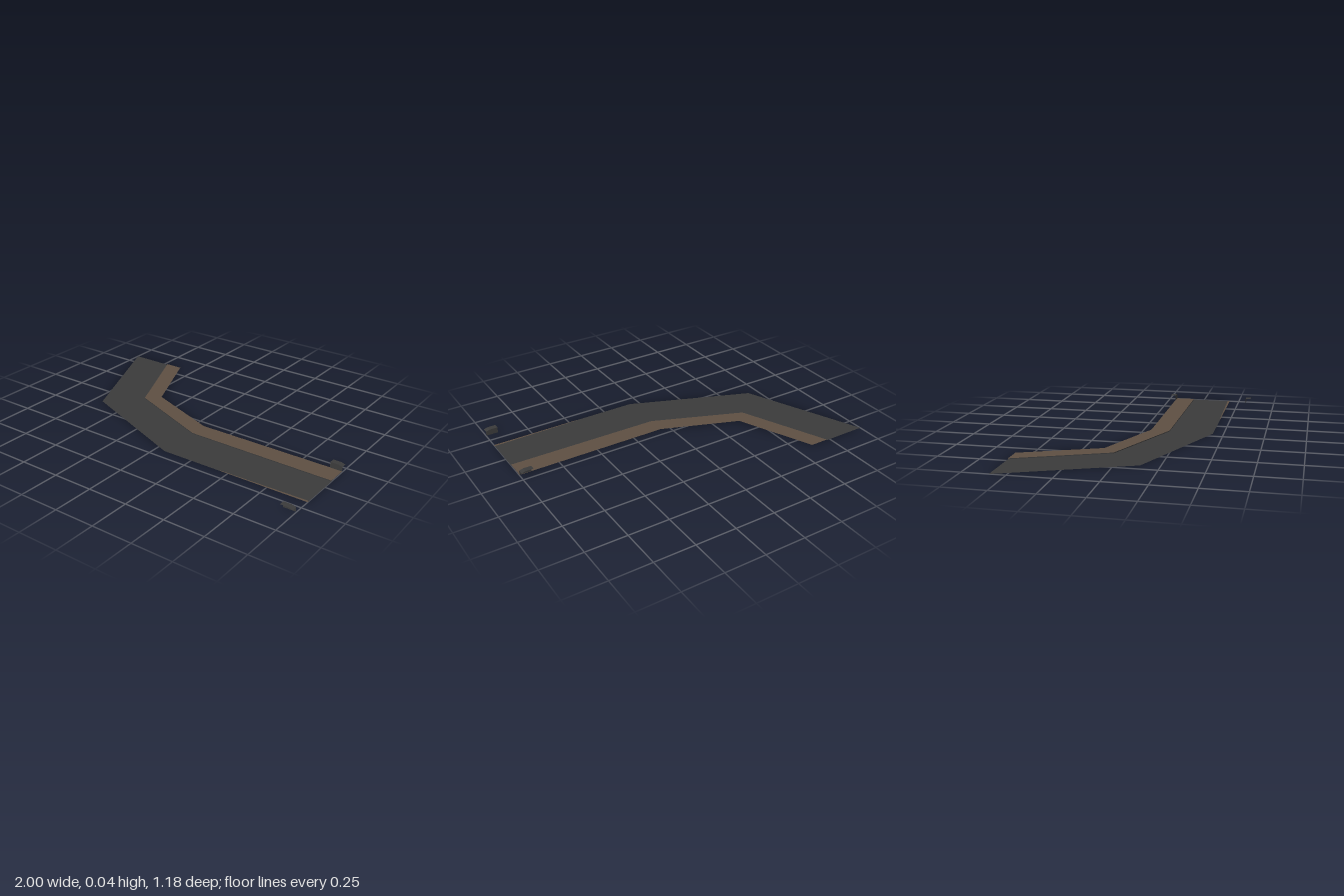
import * as THREE from 'three';

const material = (name, color) => {
  const m = new THREE.MeshStandardMaterial({ color, side: THREE.DoubleSide });
  m.name = name;
  return m;
};

// Flat-faced ribbon between two edge lines of [x, y, z] points
function ribbon(name, a, b, mat) {
  const pos = [];
  for (let i = 0; i < a.length - 1; i++) {
    pos.push(...a[i], ...b[i], ...a[i + 1], ...a[i + 1], ...b[i], ...b[i + 1]);
  }
  const g = new THREE.BufferGeometry();
  g.setAttribute('position', new THREE.Float32BufferAttribute(pos, 3));
  g.computeVertexNormals();
  const mesh = new THREE.Mesh(g, mat);
  mesh.name = name;
  return mesh;
}

export function createModel() {
  const model = new THREE.Group();
  const asphalt = material('dark asphalt', 0x3b3b3b);
  const earth = material('brown earth', 0x5e4f42);

  // Plan lines of the bending road, as [x, z]
  const inner = [[-0.61, -0.595], [-0.41, -0.13], [0.06, 0.05], [1, 0.05]];
  const middle = [[-0.725, -0.595], [-0.49, -0.055], [0.06, 0.165], [1, 0.175]];
  const outer = [[-1, -0.595], [-0.685, 0.14], [0.06, 0.435], [1, 0.435]];
  const at = (line, y) => line.map(([x, z]) => [x, y, z]);

  // Road surface, raised verge and the low step between them
  const step = 0.005;
  model.add(ribbon('road', at(middle, 0), at(outer, 0), asphalt));
  model.add(ribbon('verge', at(inner, step), at(middle, step), earth));
  model.add(ribbon('kerbStep', at(middle, step), at(middle, 0), asphalt));

  // Narrow sliver of earth on the outer road edge
  model.add(ribbon('outerEdge', at([[0.45, 0.431], [1, 0.421]], 0.001),
    at([[0.45, 0.435], [1, 0.435]], 0.001), earth));

  // Rail ends: upright panel with a cap that slopes down at the tip
  const top = [[0.925, 0.04], [0.975, 0.04], [1, 0.032]];
  const railEnd = (name, zPanel, zOut) => {
    const group = new THREE.Group();
    group.name = name;
    const line = (z) => top.map(([x, y]) => [x, y, z]);
    const foot = top.map(([x]) => [x, step, zPanel]);
    group.add(ribbon('railPanel', line(zPanel), foot, asphalt));
    group.add(ribbon('railCap', line(Math.min(zPanel, zOut)), line(Math.max(zPanel, zOut)), asphalt));
    model.add(group);
  };
  railEnd('backRailEnd', 0.052, 0.017);
  railEnd('frontRailEnd', 0.555, 0.59);

  return model;
}
